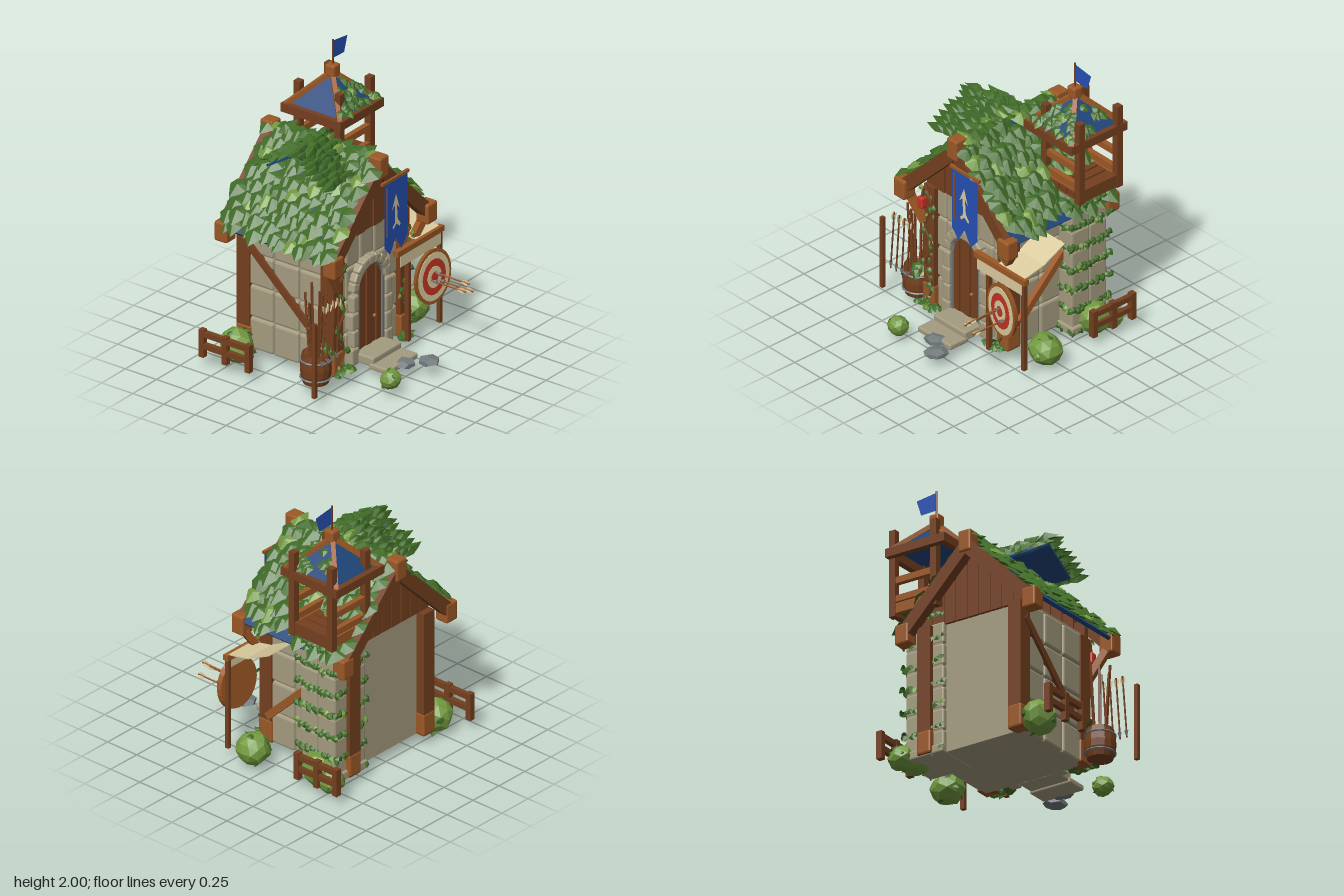
import * as THREE from 'three';
import { mergeGeometries } from 'three/addons/utils/BufferGeometryUtils.js';
import { RoundedBoxGeometry } from 'three/addons/geometries/RoundedBoxGeometry.js';

const V = (x, y, z) => new THREE.Vector3(x, y, z);

export function createModel() {
  const root = new THREE.Group();
  const mat = (name, color) => new THREE.MeshStandardMaterial({ name, color, flatShading: true, side: THREE.DoubleSide });
  const stone = mat('stone', 0xa59c80), wood = mat('dark wood', 0x75401f), oak = mat('light wood', 0x9c5826);
  const leafGreen = mat('leaf green', 0x426d29), bushGreen = mat('bush green', 0x739a40), cloth = mat('banner blue', 0x2650b4);
  const tile = mat('roof blue', 0x1f457a), cream = mat('cream', 0xdccda0), red = mat('red', 0xc53425), grey = mat('grey', 0x747c7e);
  let seed = 7;
  const rnd = (a = -1, b = 1) => { seed = (seed * 16807) % 2147483647; return a + (b - a) * seed / 2147483647; };

  // Helpers
  const add = (name, geo, m, x = 0, y = 0, z = 0, parent = root) => {
    const o = new THREE.Mesh(geo, m);
    o.name = name; o.position.set(x, y, z); parent.add(o);
    return o;
  };
  const box = (name, m, x0, x1, y0, y1, z0, z1, r = 0) => add(name,
    r ? new RoundedBoxGeometry(x1 - x0, y1 - y0, z1 - z0, 1, r) : new THREE.BoxGeometry(x1 - x0, y1 - y0, z1 - z0),
    m, (x0 + x1) / 2, (y0 + y1) / 2, (z0 + z1) / 2);
  const block = (name, m, x, y, z, w, h, d) => box(name, m, x - w / 2, x + w / 2, y - h / 2, y + h / 2, z - d / 2, z + d / 2, 0.012);
  const beam = (name, m, a, b, w, h) => {
    const o = add(name, new THREE.BoxGeometry(w, h, a.distanceTo(b)), m);
    o.position.copy(a).add(b).multiplyScalar(0.5); o.lookAt(b);
    return o;
  };
  // Cupped leaf: tip towards -y, raised middle towards +z
  const rim = [[0, 0.48], [-0.4, 0.32], [-0.54, -0.08], [-0.3, -0.45], [0, -0.8], [0.3, -0.45], [0.54, -0.08], [0.4, 0.32]];
  const leafPts = rim.flatMap((p, i) => [[...p, 0], [...rim[(i + 1) % 8], 0], [0, -0.05, 0.28]]).flat();
  const leaf = new THREE.BufferGeometry().setAttribute('position', new THREE.Float32BufferAttribute(leafPts, 3));
  leaf.computeVertexNormals();
  const foliage = (name, specs) => [leafGreen, bushGreen].forEach((m, k) => {
    const geos = specs.filter((_, i) => (i % 10 === 5) === (k === 1)).map(({ p, n, d, s, w = 1 }) => {
      const y = d.clone().addScaledVector(n, 0.25).add(V(rnd(), rnd(), rnd()).multiplyScalar(0.2)).normalize().negate();
      const x = y.clone().cross(n).normalize(), z = x.clone().cross(y), q = s * rnd(0.85, 1.2);
      return leaf.clone().applyMatrix4(new THREE.Matrix4().makeBasis(x, y, z).scale(V(q * w, q, q)).setPosition(p));
    });
    if (geos.length) add(name, mergeGeometries(geos), m);
  });
  const jit = (p, a) => p.add(V(rnd(), rnd(), rnd()).multiplyScalar(a));

  // Stone walls with raised blocks
  box('houseCore', stone, -0.375, 0.375, 0.07, 1, -0.49, 0.17);
  const rows = [0.07, 0.3, 0.53, 0.76, 0.985];
  for (let r = 0; r < 4; r++) {
    for (let c = 0; c < 5; c++) box('frontStone', stone, -0.375 + c * 0.15, -0.231 + c * 0.15, rows[r], rows[r + 1] - 0.008, 0.1, 0.19, 0.015);
    for (const s of [-1, 1]) for (let c = 0; c < 3; c++) {
      const z = -0.47 + c * 0.205, x = s * 0.365;
      box('sideStone', stone, x - 0.03, x + 0.03, rows[r], rows[r + 1] - 0.008, z, z + 0.197, 0.015);
    }
  }
  // Corner turret under the lookout
  box('turretCore', stone, 0.23, 0.51, 0.07, 0.98, -0.52, -0.23);
  for (let r = 0; r < 6; r++) for (let i = 0; i < 2; i++) for (let j = 0; j < 2; j++)
    block('turretStone', stone, 0.295 + i * 0.15, 0.145 + r * 0.153, -0.45 + j * 0.15, 0.147, 0.148, 0.147);
  box('turretFoot', stone, 0.22, 0.54, 0.06, 0.12, -0.54, -0.21, 0.01);

  // Gables, barge boards and end blocks
  for (const [zb, zg] of [[0.29, 0.18], [-0.58, -0.495]]) {
    for (let i = -4; i <= 4; i++) {
      const x = i * 0.09, top = 1.43 - 0.95 * Math.abs(x);
      box('gablePlank', wood, x - 0.042, x + 0.042, 0.97, top, zg - 0.015, zg + 0.02 + (i & 1) * 0.008);
    }
    for (const s of [-1, 1]) {
      beam('bargeBoard', wood, V(-0.01, 1.43, zb), V(s * 0.5 - 0.01, 0.93, zb), 0.07, 0.09);
      block('eaveBlock', oak, s * 0.497 - 0.01, 0.93, zb + 0.01, 0.105, 0.14, 0.1);
    }
    block('ridgeBlock', oak, -0.012, 1.455, zb, 0.095, 0.15, 0.1);
  }
  // Corner posts, braces
  for (const s of [-1, 1]) {
    for (const z of [0.175, -0.5]) {
      box('cornerPost', wood, s * 0.355 - 0.05, s * 0.355 + 0.05, 0.07, 0.97, z - 0.055, z + 0.05);
      block('postFoot', oak, s * 0.355, 0.15, z, 0.108, 0.16, 0.118);
    }
    beam('eaveBracket', oak, V(s * 0.38, 0.7, 0.24), V(s * 0.5, 0.88, 0.27), 0.045, 0.05);
  }
  beam('rightBrace', oak, V(0.415, 0.27, 0.14), V(0.415, 0.66, -0.26), 0.04, 0.05);
  beam('leftBrace', wood, V(-0.4, 0.86, -0.5), V(-0.4, 0.38, 0.02), 0.03, 0.05);

  // Roof slabs and their leaf cover
  const cover = [];
  for (const s of [-1, 1]) {
    beam('roofSlab', tile, V(-0.01, 1.455, -0.145), V(s * 0.53 - 0.01, 0.95, -0.145), 0.84, 0.025);
    const d = V(s * 0.56, -0.53, 0).normalize(), n = V(s * 0.53, 0.56, 0).normalize();
    for (let r = 0; r < 10; r++) for (let c = 0; c < 12; c++) {
      // bare tiles show in two gaps along the right eave
      if (r === 9 && s > 0 && [5, 6, 7, 10, 11].includes(c)) continue;
      cover.push({ p: jit(V(-0.01, 1.495, -0.56 + (c + (r & 1) * 0.5) * 0.073).addScaledVector(d, 0.02 + r * 0.077), 0.018), n, d, s: 0.122, w: 1.02 });
    }
  }
  for (let c = 0; c < 11; c++) cover.push({ p: V(rnd(-0.03, 0.03), 1.505, -0.52 + c * 0.075), n: V(0, 1, 0), d: V(c & 1 ? 1 : -1, 0, 0.2), s: 0.11 });
  foliage('roofLeaves', cover);
  // Overgrown dormer roof with long swept leaves
  const sweep = [];
  for (const s of [-1, 1]) {
    beam('dormerRoof', tile, V(-0.17, 1.53, -0.13), V(-0.17, 1.38, -0.13 + s * 0.24), 0.32, 0.015);
    const n = V(0, 0.85, s * 0.53);
    for (let r = 0; r < 8; r++) for (let c = 0; c < 5; c++) {
      const t = r / 7;
      sweep.push({ p: jit(V(-0.03 - c * 0.075, 1.56 - t * 0.17, -0.13 + s * t * 0.27), 0.016), n, d: V(-1, -0.15, 0), s: 0.125, w: 0.5 });
    }
  }
  foliage('dormerLeaves', sweep);

  // Arched door with iron edge and stone surround
  for (let i = -2; i <= 2; i++) {
    const h = 0.59 + Math.sqrt(0.0185 - (i * 0.05) ** 2);
    box('doorPlank', wood, i * 0.05 - 0.03, i * 0.05 + 0.02, 0.12, h, 0.18, i & 1 ? 0.2 : 0.212);
  }
  add('doorKnob', new THREE.SphereGeometry(0.014, 8, 6), oak, 0.045, 0.33, 0.215);
  add('doorArchEdge', new THREE.TorusGeometry(0.133, 0.01, 4, 12, Math.PI), grey, -0.005, 0.59, 0.212);
  for (let i = 0; i < 9; i++) {
    const a = Math.PI * (i + 0.5) / 9;
    block('archStone', stone, -0.005 + Math.cos(a) * 0.168, 0.59 + Math.sin(a) * 0.168, 0.205, 0.066, 0.066, 0.07).rotation.z = a;
  }
  for (const s of [-1, 1]) {
    box('doorSideEdge', grey, s * 0.133 - 0.015, s * 0.133 + 0.005, 0.12, 0.59, 0.18, 0.224);
    for (let i = 0; i < 4; i++) block('jambStone', stone, -0.005 + s * (i & 1 ? 0.172 : 0.18), 0.13 + i * 0.125, 0.205, i & 1 ? 0.06 : 0.076, 0.12, 0.07);
  }
  box('upperStep', stone, -0.16, 0.14, 0.08, 0.145, 0.2, 0.36, 0.01);
  box('lowerStep', stone, -0.17, 0.145, 0.065, 0.105, 0.33, 0.49, 0.01);
  for (const [x, z, a] of [[0.005, 0.487, 0.3], [0.125, 0.592, 1]]) {
    const rock = add('flagstone', new THREE.DodecahedronGeometry(0.084), grey, x, 0.088, z);
    rock.scale.set(1, 0.33, 0.88); rock.rotation.y = a;
  }

  // Banner with an arrow device
  const flagShape = pts => new THREE.ShapeGeometry(new THREE.Shape(pts.map(p => new THREE.Vector2(...p))));
  add('banner', flagShape([[-0.01, 1.33], [-0.01, 0.87], [0.05, 0.8], [0.11, 0.9], [0.17, 0.8], [0.235, 0.87], [0.235, 1.33]]), cloth, 0, 0, 0.335);
  add('bannerArrow', flagShape([[0.095, 1.01], [0.1, 1.03], [0.095, 1.14], [0.065, 1.11], [0.11, 1.22], [0.148, 1.1], [0.118, 1.14], [0.128, 1.03], [0.158, 0.99], [0.15, 0.97], [0.115, 1], [0.08, 0.97], [0.072, 0.99]]), cream, 0, 0, 0.339);
  beam('bannerTrim', oak, V(0.015, 0.94, 0.338), V(0.015, 1.29, 0.338), 0.007, 0.007);
  box('bannerRod', oak, -0.03, 0.25, 1.32, 1.34, 0.32, 0.34);
  // Red lantern
  block('lantern', red, -0.398, 0.84, 0.245, 0.05, 0.085, 0.05);
  beam('lanternHook', wood, V(-0.398, 0.87, 0.245), V(-0.398, 0.95, 0.23), 0.015, 0.015);

  // Lookout frame, roof and flag
  for (const x of [0.262, 0.585]) for (const z of [-0.232, -0.558]) box('lookoutPost', wood, x - 0.024, x + 0.024, 1.09, 1.7, z - 0.024, z + 0.024);
  for (const z of [-0.232, -0.558]) for (const [y0, y1] of [[1.11, 1.18], [1.19, 1.235], [1.32, 1.365]]) box('lookoutRail', oak, 0.24, 0.6, y0, y1, z - 0.018, z + 0.018);
  for (const x of [0.262, 0.585]) box('lookoutSill', wood, x - 0.022, x + 0.022, 1.1, 1.19, -0.58, -0.21);
  for (let i = 0; i < 4; i++) box('lookoutJoist', wood, 0.28 + i * 0.075, 0.34 + i * 0.075, 1.13, 1.175, -0.56, -0.2);
  for (const s of [-1, 1]) {
    box('lookoutEave', wood, 0.15, 0.61, 1.5, 1.56, -0.38 + s * 0.22 - 0.022, -0.38 + s * 0.22 + 0.022);
    box('lookoutEave', wood, 0.38 + s * 0.208 - 0.022, 0.38 + s * 0.208 + 0.022, 1.5, 1.56, -0.62, -0.14);
    for (const t of [-1, 1]) beam('hipBeam', oak, V(0.38 + s * 0.21, 1.55, -0.38 + t * 0.22), V(0.38, 1.77, -0.38), 0.03, 0.03);
  }
  const pyramid = add('lookoutRoof', new THREE.ConeGeometry(0.3, 0.21, 4, 1, true).rotateY(Math.PI / 4), tile, 0.38, 1.645, -0.38);
  pyramid.scale.z = 1.05;
  block('finial', oak, 0.378, 1.785, -0.375, 0.075, 0.085, 0.075);
  add('flagPole', new THREE.CylinderGeometry(0.007, 0.007, 0.2, 6), wood, 0.38, 1.9, -0.375);
  add('flag', flagShape([[0.386, 1.99], [0.386, 1.865], [0.5, 1.86], [0.535, 1.97]]), cloth, 0, 0, -0.375);
  const topIvy = [];
  for (let i = 0; i < 42; i++) {
    const t = Math.sqrt(rnd(0.1, 1)), u = rnd() * t, front = i % 3 !== 0;
    topIvy.push({ p: V(0.38 + (front ? u : t) * 0.2, 1.77 - t * 0.19, -0.38 + (front ? t : u) * 0.22), n: front ? V(0, 0.7, 0.7) : V(0.7, 0.7, 0), d: front ? V(rnd(), -0.7, 0.7) : V(0.7, -0.7, rnd()), s: 0.06 });
  }
  foliage('lookoutIvy', topIvy);

  // Ivy bands on the turret and vines up the front posts
  const ivy = [];
  for (let r = 0; r < 7; r++) for (let i = 0; i < 14; i++) {
    const t = i / 13, y = 0.1 + r * 0.157 - Math.sin(t * Math.PI) * 0.015;
    ivy.push({ p: jit(V(0.53, y, -0.54 + t * 0.33), 0.012), n: V(1, 0.2, 0), d: V(0, -0.6, rnd()), s: 0.042 });
    if (i < 9) for (const s of [-1, 1]) ivy.push({ p: jit(V(0.23 + i * 0.035, y, -0.375 + s * 0.155), 0.012), n: V(0, 0.2, s), d: V(rnd(), -0.6, 0), s: 0.042 });
  }
  for (const s of [-1, 1]) {
    const path = new THREE.CatmullRomCurve3([0, 1, 2, 3, 4, 5, 6].map(i => V(s * 0.345 + (i & 1 ? 0.035 : -0.03), 0.08 + i * 0.15, 0.24)));
    add('vineStem', new THREE.TubeGeometry(path, 24, 0.008, 5), wood);
    for (let i = 0; i < 22; i++) ivy.push({ p: jit(path.getPoint(i / 21), 0.02), n: V(0, 0.2, 1), d: V(rnd(), -0.7, 0), s: 0.038 });
    for (let i = 0; i < 12; i++) ivy.push({ p: V(s * 0.34 + rnd(-0.1, 0.1), 0.09, 0.25 + rnd(-0.03, 0.03)), n: V(0, 1, 0.4), d: V(rnd(), 0, rnd()), s: 0.055 });
  }
  foliage('wallIvy', ivy);

  // Arrows
  const arrow = (tip, tail, shaftMat = oak) => {
    const g = new THREE.Group(), len = tip.distanceTo(tail);
    g.name = 'arrow'; g.position.copy(tail); root.add(g);
    g.quaternion.setFromUnitVectors(V(0, 1, 0), tip.clone().sub(tail).normalize());
    add('shaft', new THREE.CylinderGeometry(0.006, 0.006, len, 5), shaftMat, 0, len / 2, 0, g);
    add('arrowHead', new THREE.ConeGeometry(0.016, 0.05, 4), grey, 0, len - 0.02, 0, g);
    for (const a of [0, Math.PI / 2]) add('fletching', flagShape([[0, 0.02], [0.02, 0.01], [0.02, 0.04], [0, 0.075], [-0.02, 0.04], [-0.02, 0.01]]), cream, 0, 0, 0, g).rotation.y = a;
  };
  for (let i = 0; i < 4; i++) arrow(V(-0.635 + i * 0.053, 0.25, 0.305), V(-0.6 + i * 0.05, 0.69, 0.305), wood);
  for (const [x, y] of [[0.45, 0.465], [0.49, 0.505], [0.53, 0.435]]) arrow(V(x, y, 0.365), V(x, y, 0.64));
  box('rackPost', wood, -0.727, -0.7, 0.07, 0.6, 0.29, 0.318);

  // Barrel of staves
  const barrel = [[0, 0], [0.085, 0], [0.102, 0.06], [0.105, 0.11], [0.1, 0.16], [0.09, 0.21], [0.08, 0.2], [0, 0.17]].map(p => new THREE.Vector2(...p));
  add('barrel', new THREE.LatheGeometry(barrel, 14), wood, -0.52, 0.07, 0.17);
  for (const y of [0.11, 0.235]) add('barrelHoop', new THREE.TorusGeometry(0.1, 0.008, 5, 16).rotateX(Math.PI / 2), grey, -0.52, y, 0.17);
  for (let i = 0; i < 6; i++) {
    const a = i * 1.05, x = -0.52 + Math.cos(a) * 0.04, z = 0.17 + Math.sin(a) * 0.04;
    beam('stave', wood, V(x, 0.2, z), V(x + Math.cos(a) * 0.03, 0.66 + (i % 3) * 0.045, z + Math.sin(a) * 0.03), 0.014, 0.014);
  }
  foliage('barrelLeaves', Array.from({ length: 10 }, () => ({ p: V(-0.47 + rnd(-0.05, 0.05), rnd(0.25, 0.33), 0.2 + rnd(-0.05, 0.05)), n: V(0, 0.6, 1), d: V(rnd(), -0.5, 0.3), s: 0.055 })));

  // Target: oval wooden boss with thin painted rings, turned slightly to its right
  const target = new THREE.Group();
  target.name = 'target'; target.position.set(0.487, 0.475, 0.345); target.rotation.y = -0.14; target.scale.x = 0.81;
  root.add(target);
  const disc = (name, m, r, z0, z1, back = r) => add(name, new THREE.CylinderGeometry(r, back, z1 - z0, 24).rotateX(Math.PI / 2), m, 0, 0, (z0 + z1) / 2, target);
  disc('targetBoss', oak, 0.197, -0.02, 0.012, 0.185);
  [[cream, 0.172], [red, 0.128], [cream, 0.077], [red, 0.038]].forEach(([m, r], i) => disc('targetRing', m, r, 0.01 + i * 0.003, 0.016 + i * 0.003));

  // Awning over the target
  for (const x of [0.298, 0.635]) box('awningPost', wood, x - 0.014, x + 0.014, 0.07, 0.74, 0.275, 0.305);
  box('awningBeam', oak, 0.17, 0.66, 0.72, 0.76, 0.27, 0.31);
  box('awningValance', cream, 0.2, 0.63, 0.64, 0.722, 0.302, 0.308);
  beam('awningCloth', cream, V(0.51, 0.755, 0.29), V(0.51, 0.79, 0.12), 0.25, 0.008);
  beam('awningCloth', cream, V(0.51, 0.79, 0.12), V(0.51, 0.88, -0.06), 0.25, 0.008);

  // Fences
  for (const [x, zs] of [[0.632, [-0.31, -0.475, -0.64]], [-0.672, [-0.255, -0.44, -0.625]]]) {
    for (const z of zs) box('fencePost', wood, x - 0.021, x + 0.021, 0.07, 0.265, z - 0.02, z + 0.02);
    for (const y of [0.15, 0.235]) box('fenceRail', wood, x - 0.017, x + 0.017, y - 0.019, y + 0.019, zs[2], zs[0]);
  }
  // Bushes
  for (const [x, y, z, r] of [[-0.26, 0.105, 0.575, 0.068], [0.615, 0.135, 0.09, 0.11], [0.52, 0.14, -0.4, 0.12], [0.55, 0.1, -0.52, 0.085], [-0.5, 0.125, -0.48, 0.115]]) {
    const geo = new THREE.IcosahedronGeometry(r, 1), p = geo.attributes.position;
    for (let i = 0; i < p.count; i++) {
      const v = V(0, 0, 0).fromBufferAttribute(p, i), k = 1.02 + 0.1 * Math.sin(v.x / r * 7 + x * 9) * Math.cos(v.y / r * 6 + v.z / r * 5);
      p.setXYZ(i, v.x * k, v.y * k, v.z * k);
    }
    add('bush', geo, bushGreen, x, y, z);
    foliage('bushLeaves', Array.from({ length: 9 }, () => { const n = V(rnd(), rnd(-0.5, 0.9), rnd()).normalize(); return { p: V(x, y, z).addScaledVector(n, r * 0.94), n, d: V(rnd(), -0.8, rnd()), s: r * 0.42 }; }));
  }
  return root;
}
